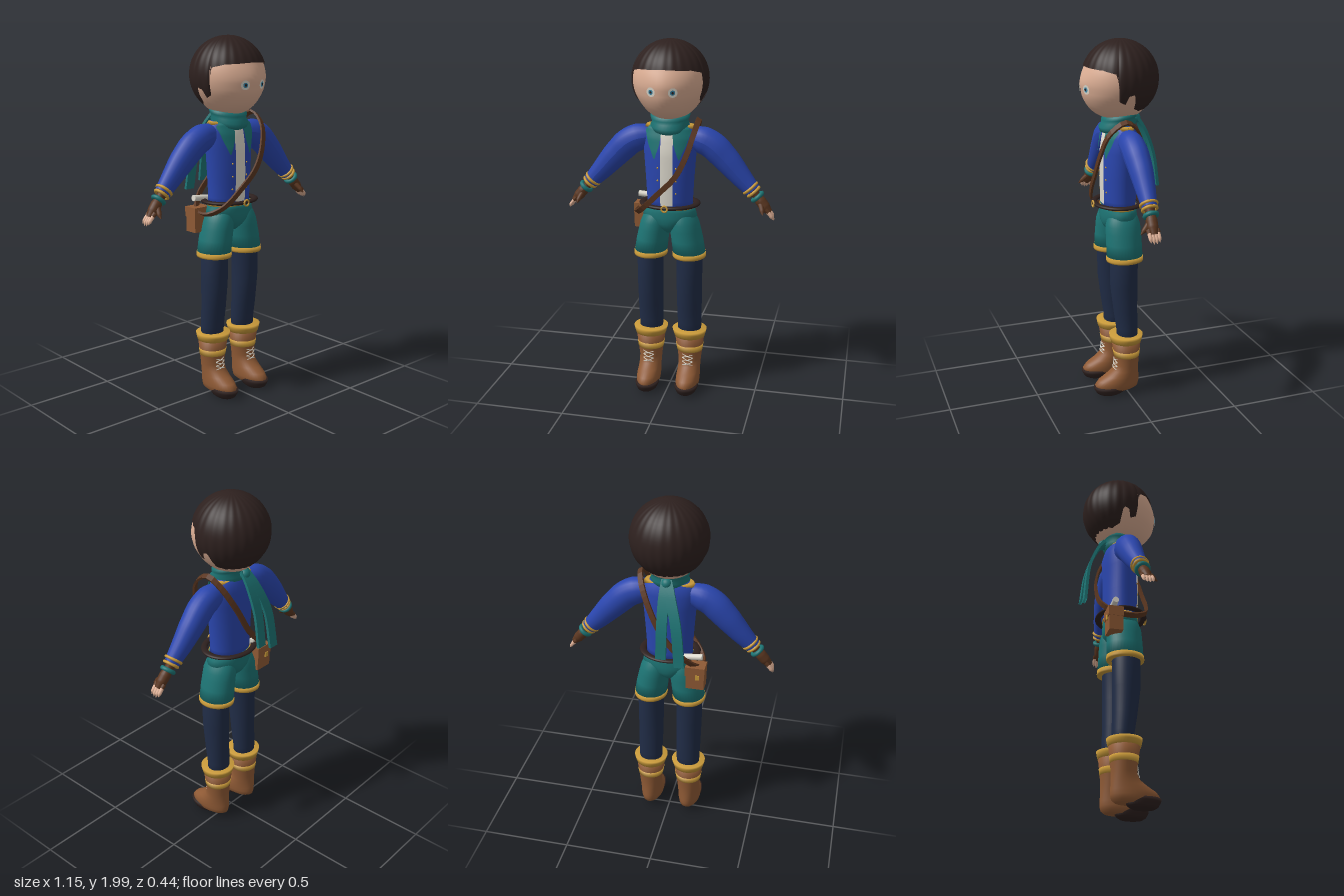
import * as THREE from 'three';

const mat = (name, color, side = THREE.FrontSide) => {
  const m = new THREE.MeshStandardMaterial({ color, side });
  m.name = name;
  return m;
};
const M = {
  skin: mat('skin', 0xdcae94), hair: mat('dark brown', 0x2d201e, THREE.DoubleSide),
  blue: mat('jacket blue', 0x2a46ae), teal: mat('teal', 0x1d7474, THREE.DoubleSide),
  cream: mat('cream', 0xdcd8cc, THREE.DoubleSide), gold: mat('gold', 0xc99a3a),
  navy: mat('navy', 0x202c46), boot: mat('boot brown', 0x8f5a35),
  leather: mat('leather', 0x5a3620), iris: mat('iris blue', 0x3a86a8),
};
const V = (x, y, z) => new THREE.Vector3(x, y, z);
const { lerp, clamp, smoothstep } = THREE.MathUtils;

// Indexed grid of rows; wrap joins the last column to the first
function grid(rows, wrap) {
  const n = rows[0].length, index = [];
  for (let i = 0; i < rows.length - 1; i++) {
    for (let j = 0; j < (wrap ? n : n - 1); j++) {
      const k = (j + 1) % n, a = i * n + j, b = i * n + k, c = a + n, d = b + n;
      index.push(a, b, d, a, d, c);
    }
  }
  const g = new THREE.BufferGeometry().setFromPoints(rows.flat());
  g.setIndex(index);
  g.computeVertexNormals();
  return g;
}

// Closed body through elliptical sections [y, cx, cz, rx, rz], bottom to top; tilt lowers the front
function loft(sections, tilt = 0, seg = 36) {
  const first = sections[0], last = sections[sections.length - 1];
  const closed = [[...first.slice(0, 3), 0, 0], ...sections, [...last.slice(0, 3), 0, 0]];
  return grid(closed.map(([y, cx, cz, rx, rz]) => Array.from({ length: seg }, (_, j) => {
    const t = j / seg * Math.PI * 2, z = cz + rz * Math.cos(t);
    return V(cx + rx * Math.sin(t), y - z * tilt, z);
  })), true);
}

// Round tube whose radius follows a list of values
function taper(pts, radii, seg = 24, sides = 20) {
  const curve = new THREE.CatmullRomCurve3(pts);
  const g = new THREE.TubeGeometry(curve, seg, 1, sides, false);
  const p = g.attributes.position, v = V(0, 0, 0);
  for (let i = 0; i <= seg; i++) {
    const c = curve.getPointAt(i / seg), f = i / seg * (radii.length - 1);
    const k = Math.min(Math.floor(f), radii.length - 2), r = lerp(radii[k], radii[k + 1], f - k);
    for (let j = 0; j <= sides; j++) {
      const n = i * (sides + 1) + j;
      v.fromBufferAttribute(p, n).sub(c).multiplyScalar(r).add(c);
      p.setXYZ(n, v.x, v.y, v.z);
    }
  }
  g.computeVertexNormals();
  return g;
}

// Flat band swept along a path, its width along a fixed direction
function band(pts, across, width, thick, closed = false) {
  const curve = new THREE.CatmullRomCurve3(pts, closed), rows = [], w = across.clone().normalize();
  for (let i = 0; i <= 48; i++) {
    const c = curve.getPointAt(i / 48), n = curve.getTangentAt(i / 48).cross(w).normalize();
    rows.push([[-1, 1], [-1, -1], [1, -1], [1, 1]].map(([a, b]) =>
      c.clone().addScaledVector(w, a * width / 2).addScaledVector(n, b * thick / 2)));
  }
  const g = grid(rows, true).toNonIndexed();
  g.computeVertexNormals();
  return g;
}

const TORSO = [[1.08, 0, .01, .13, .09], [1.13, 0, .01, .127, .092], [1.25, 0, .01, .134, .095],
  [1.40, 0, .008, .145, .095], [1.48, 0, 0, .155, .09], [1.53, 0, 0, .135, .075], [1.56, 0, 0, .08, .06]];
function chestZ(x, y) {
  let i = 0;
  while (i < TORSO.length - 2 && TORSO[i + 1][0] < y) i++;
  const a = TORSO[i], b = TORSO[i + 1], t = clamp((y - a[0]) / (b[0] - a[0]), 0, 1);
  const rx = lerp(a[3], b[3], t);
  return lerp(a[2], b[2], t) + lerp(a[4], b[4], t) * Math.sqrt(Math.max(0, 1 - (x / rx) ** 2));
}
// Thin patch lying on the chest, from edges [y, x0, x1]
function chestPatch(edges, lift) {
  const rows = [];
  for (let i = 0; i <= 16; i++) {
    const f = i / 16 * (edges.length - 1), k = Math.min(Math.floor(f), edges.length - 2);
    const [y, x0, x1] = edges[k].map((e, n) => lerp(e, edges[k + 1][n], f - k));
    rows.push(Array.from({ length: 9 }, (_, j) => {
      const x = lerp(x0, x1, j / 8);
      return V(x, y, chestZ(x, y) + lift);
    }));
  }
  return grid(rows, false);
}

export function createModel() {
  const root = new THREE.Group();
  root.name = 'adventurer';
  const add = (name, geo, m, x = 0, y = 0, z = 0) => {
    const mesh = new THREE.Mesh(geo, m);
    mesh.name = name;
    mesh.position.set(x, y, z);
    root.add(mesh);
    return mesh;
  };
  const ring = (name, m, pos, dir, R, r) => add(name, new THREE.TorusGeometry(R, r, 10, 28), m, ...pos)
    .quaternion.setFromUnitVectors(V(0, 0, 1), V(...dir).normalize());

  // Head: sphere pushed forward in the face, with a lowered chin and a slight ridge
  const HY = 1.79;
  const faceZ = (x, y, z) => z * (1 + .07 * clamp((.07 - y) / .1, 0, 1) + .12 * clamp((-.05 - y) / .1, 0, 1))
    + .008 * Math.max(0, 1 - Math.abs(x) / .1) * smoothstep(.07 - y, 0, .1) * smoothstep(z, 0, .1);
  const head = new THREE.SphereGeometry(.2, 48, 36), hp = head.attributes.position;
  for (let i = 0; i < hp.count; i++) {
    const x = hp.getX(i), y = hp.getY(i), z = hp.getZ(i);
    if (z > 0) hp.setZ(i, faceZ(x, y, z));
    hp.setY(i, y - .018 * smoothstep(-y, .1, .2));
  }
  head.computeVertexNormals();
  add('head', head, M.skin, 0, HY, 0);
  add('neck', new THREE.CylinderGeometry(.06, .07, .14, 24), M.skin, 0, 1.57, 0);

  // Hair: shell cut along a hairline [degrees from the front, height]
  const line = [[0, 1.86], [45, 1.853], [67, 1.835], [70, 1.69], [80, 1.675], [85, 1.72], [94, 1.73],
    [100, 1.645], [125, 1.62], [180, 1.615]];
  const hairRows = [];
  for (let i = 0; i <= 24; i++) {
    hairRows.push(Array.from({ length: 144 }, (_, j) => {
      const t = j / 144 * Math.PI * 2, deg = Math.min(j, 144 - j) * 2.5;
      let k = 0;
      while (k < line.length - 2 && line[k + 1][0] < deg) k++;
      const y = lerp(line[k][1], line[k + 1][1], (deg - line[k][0]) / (line[k + 1][0] - line[k][0]));
      const a = Math.acos((y - HY) / .208) * (1 - i / 24);
      const r = .207 + .0012 * Math.cos(t * 24) * Math.sin(a);
      return V(r * Math.sin(a) * Math.sin(t), HY + r * Math.cos(a), r * Math.sin(a) * Math.cos(t));
    }));
  }
  add('hair', grid(hairRows, true), M.hair);

  // Torso, shirt and scarf
  add('jacket', loft(TORSO), M.blue);
  add('shirtFront', chestPatch([[1.11, -.034, .034], [1.54, -.034, .034]], .005), M.cream);
  add('shoulderTrim', loft([[1.528, 0, 0, .142, .066], [1.545, 0, 0, .13, .062]]), M.gold);
  add('scarf', loft([[1.51, 0, .015, .07, .07], [1.525, 0, .015, .095, .095], [1.55, 0, .015, .106, .102],
    [1.568, 0, .01, .096, .09], [1.585, 0, .005, .106, .096], [1.602, 0, 0, .108, .096], [1.612, 0, 0, .09, .08]], .16), M.teal);
  add('scarfKnot', new THREE.SphereGeometry(.03, 20, 14), M.teal, -.005, 1.57, -.088);
  for (const [x, y] of [[-.1, 1.145], [0, 1.185]]) {
    add('scarfTail', band([V(-.005, 1.59, -.085), V(x * .35, 1.51, -.135), V(x * .75, 1.37, -.187), V(x, y, -.214)],
      V(1, 0, 0), .056, .016), M.teal);
  }

  // Shorts, belt and buckle
  add('shortsSeat', loft([[.945, 0, .012, .02, .05], [.975, 0, .012, .07, .082], [1.005, 0, .012, .12, .096],
    [1.04, 0, .012, .152, .098], [1.07, 0, .012, .143, .096], [1.1, 0, .012, .132, .093]]), M.teal);
  add('waistTrim', loft([[1.086, 0, .012, .139, .098], [1.098, 0, .012, .136, .098]]), M.gold);
  const belt = add('belt', new THREE.TorusGeometry(.15, .02, 12, 48), M.hair, 0, 1.108, .015);
  belt.rotation.x = Math.PI / 2;
  belt.scale.set(1, .84, .5);
  ring('buckle', M.gold, [0, 1.108, .156], [0, 0, 1], .016, .005);

  // Shoulder strap with bag and rolled map
  add('strap', band([V(.16, 1.58, .02), V(.15, 1.52, .11), V(.115, 1.4, .152), V(.06, 1.29, .163),
    V(-.04, 1.185, .152), V(-.13, 1.095, .12), V(-.182, 1.05, .04), V(-.175, 1.06, -.05), V(-.11, 1.13, -.115),
    V(0, 1.25, -.125), V(.08, 1.4, -.108), V(.14, 1.53, -.05)], V(.84, -.54, 0), .03, .012, true), M.leather);
  const bag = new THREE.Group();
  bag.name = 'bag';
  bag.position.set(-.162, 1.01, -.062);
  bag.rotation.y = Math.PI;
  for (const [name, size, m, pos] of [['bagBody', [.102, .12, .076], M.boot, [0, -.01, 0]],
    ['bagFlap', [.108, .056, .084], M.boot, [0, .04, .002]], ['bagClasp', [.022, .028, .008], M.gold, [.015, .01, .044]]]) {
    const part = new THREE.Mesh(new THREE.BoxGeometry(...size), m);
    part.name = name;
    part.position.set(...pos);
    bag.add(part);
  }
  root.add(bag);
  add('rolledMap', new THREE.CylinderGeometry(.017, .017, .1, 18), M.cream, -.145, 1.122, -.06).rotation.z = Math.PI / 2 - .1;

  for (const s of [1, -1]) {
    // Eyes: stacked thin discs
    const ex = .058, ey = -.044, ez = faceZ(ex, ey, Math.sqrt(.04 - ex * ex - ey * ey));
    [['eyeWhite', .025, M.cream], ['iris', .0135, M.iris], ['pupil', .0065, M.hair]].forEach(([n, r, m], i) => {
      const e = add(n, new THREE.CircleGeometry(r, 24), m, s * ex, HY + ey, ez + .004 + i * .002);
      e.rotation.set(.1, s * .36, 0);
    });

    // Scarf points and jacket buttons
    add('scarfPoint', chestPatch([[1.37, s * .065, s * .07], [1.45, s * .038, s * .105], [1.52, s * .03, s * .125],
      [1.545, s * .03, s * .1]], .012), M.teal);
    for (const y of [1.18, 1.25, 1.32]) {
      add('button', new THREE.SphereGeometry(.005, 10, 8), M.gold, s * .05, y, chestZ(.05, y));
    }

    // Sleeve, cuffs and gloved hand
    const P = (x, y, z) => V(s * x, y, z);
    add('sleeve', taper([P(.08, 1.475, 0), P(.16, 1.468, 0), P(.225, 1.44, 0), P(.3, 1.37, -.003), P(.39, 1.27, 0), P(.455, 1.2, .006)],
      [.05, .075, .077, .07, .058, .044]).scale(1, 1, .88), M.blue);
    const dir = [s * .67, -.74, 0];
    ring('cuffTrim', M.gold, [s * .442, 1.214, .005], dir, .043, .008);
    ring('cuffTrim', M.gold, [s * .46, 1.194, .006], dir, .038, .008);
    ring('wristBand', M.teal, [s * .482, 1.168, .008], dir, .031, .012);
    add('glove', taper([P(.45, 1.205, .006), P(.49, 1.158, .01), P(.525, 1.115, .014), P(.55, 1.087, .017)],
      [.03, .023, .03, .029, .018]), M.leather);
    add('thumb', taper([P(.5, 1.135, .025), P(.512, 1.11, .05), P(.518, 1.092, .068), P(.52, 1.085, .077)],
      [.015, .014, .012, .002], 12, 12), M.leather);
    for (let f = 0; f < 4; f++) {
      const z = -.008 + f * .016, d = f === 0 || f === 3 ? .007 : 0;
      add('fingerSleeve', taper([P(.53, 1.108, z), P(.55 - d / 2, 1.086 + d, z)], [.013, .0115], 4, 10), M.leather);
      add('fingertip', taper([P(.542, 1.094, z), P(.564 - d / 2, 1.066 + d, z), P(.576 - d / 2, 1.045 + d, z)],
        [.0105, .0105, .01, .001], 9, 10), M.skin);
    }

    // Shorts leg, hem and trousers
    const X = rows => rows.map(([y, x, ...r]) => [y, s * x, ...r]);
    add('shortsLeg', loft(X([[.82, .11, .012, .091, .1], [.9, .099, .012, .089, .099], [.96, .088, .012, .086, .098],
      [1.0, .082, .012, .082, .096], [1.04, .074, .012, .073, .085], [1.08, .065, .012, .05, .06]])), M.teal);
    add('shortsHem', loft(X([[.803, .11, .012, .092, .102], [.812, .11, .012, .094, .104], [.832, .109, .012, .092, .102]])), M.gold);
    add('trouserLeg', loft(X([[.3, .112, -.002, .064, .056], [.4, .112, -.002, .068, .06], [.5, .112, .008, .07, .066],
      [.65, .112, .017, .072, .076], [.8, .112, .017, .073, .078], [.95, .085, .015, .07, .075]])), M.navy);

    // Boot with cuff, stripe, toe sole and laces
    add('boot', loft(X([[.026, .115, .045, .045, .09], [.04, .115, .058, .062, .122], [.065, .115, .06, .066, .13],
      [.09, .115, .05, .066, .12], [.115, .115, .03, .064, .098], [.145, .115, .01, .063, .077],
      [.18, .115, .002, .065, .068], [.24, .115, .002, .073, .072], [.32, .114, .004, .084, .083]])), M.boot);
    add('bootStripe', loft(X([[.232, .115, .002, .074, .073], [.268, .114, .003, .079, .078]])), M.gold);
    add('bootCuff', loft(X([[.32, .114, .005, .087, .086], [.345, .114, .005, .094, .092], [.362, .113, .005, .098, .095]])), M.gold);
    add('toeSole', loft(X([[.003, .115, .1, .04, .06], [.015, .115, .1, .055, .08], [.04, .115, .098, .066, .096],
      [.056, .115, .112, .064, .084]])), M.hair);
    for (let i = 0; i < 3; i++) {
      for (const t of [1, -1]) {
        const y = .155 + i * .022;
        add('lace', taper([P(.115 - t * .03, y, .071 - i * .002), P(.115, y + .01, .083 - i * .004),
          P(.115 + t * .03, y + .02, .069 - i * .002)], [.0025, .0025], 8, 6), M.cream);
      }
    }
  }
  return root;
}
